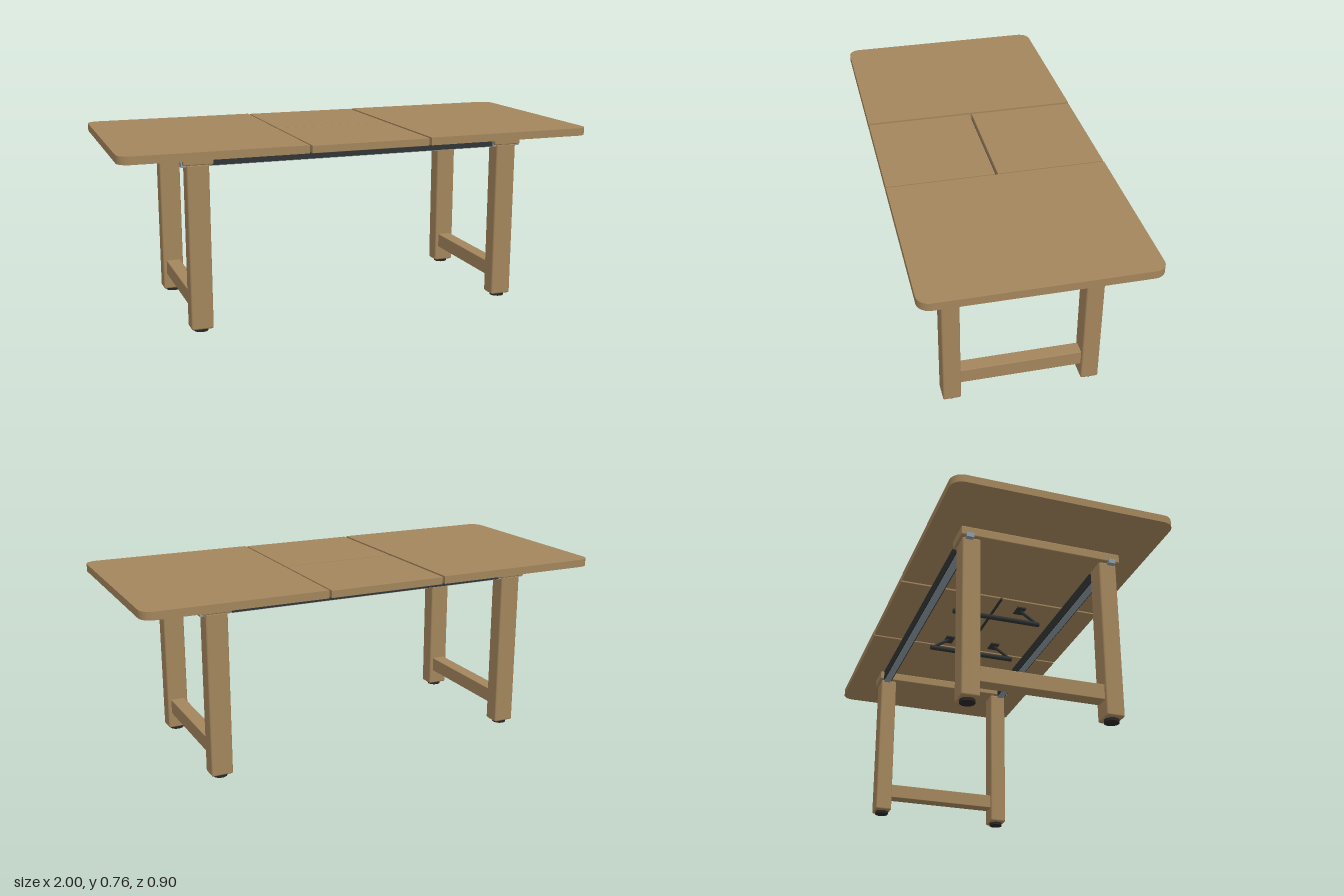
import * as THREE from 'three';
import { RoundedBoxGeometry } from 'three/addons/geometries/RoundedBoxGeometry.js';
import { toCreasedNormals } from 'three/addons/utils/BufferGeometryUtils.js';

const material = (name, color) => {
  const m = new THREE.MeshStandardMaterial({ color });
  m.name = name;
  return m;
};

export function createModel() {
  const wood = material('wood', 0xa3855c);
  const dark = material('dark metal', 0x303434);
  const steel = material('steel', 0x8d9aa3);
  const rubber = material('rubber', 0x2a2626);

  const table = new THREE.Group();
  table.name = 'extendingTable';

  function add(name, geometry, mat, x = 0, y = 0, z = 0) {
    const mesh = new THREE.Mesh(geometry, mat);
    mesh.name = name;
    mesh.position.set(x, y, z);
    table.add(mesh);
    return mesh;
  }
  // Box given by its limits, with optional rounded edges
  function block(name, mat, [x0, x1], [y0, y1], [z0, z1], r = 0) {
    const s = [x1 - x0, y1 - y0, z1 - z0];
    const g = r ? new RoundedBoxGeometry(...s, 3, r) : new THREE.BoxGeometry(...s);
    return add(name, g, mat, (x0 + x1) / 2, (y0 + y1) / 2, (z0 + z1) / 2);
  }
  // Round bar between two points
  function bar(name, mat, a, b, radius) {
    const from = new THREE.Vector3(...a), to = new THREE.Vector3(...b);
    const dir = to.clone().sub(from);
    const mesh = add(name, new THREE.CylinderGeometry(radius, radius, dir.length(), 16), mat);
    mesh.position.copy(from).add(to).multiplyScalar(0.5);
    mesh.quaternion.setFromUnitVectors(new THREE.Vector3(0, 1, 0), dir.normalize());
  }

  // End panel outline, with the two outer corners rounded
  const D = 0.452, R = 0.05, inner = 0.26;
  const outline = new THREE.Shape();
  outline.moveTo(inner, -D);
  outline.lineTo(1 - R, -D);
  outline.absarc(1 - R, -D + R, R, -Math.PI / 2, 0, false);
  outline.lineTo(1, D - R);
  outline.absarc(1 - R, D - R, R, 0, Math.PI / 2, false);
  outline.lineTo(inner, D);
  outline.closePath();
  const panel = new THREE.ExtrudeGeometry(outline, { depth: 0.032, bevelEnabled: false, curveSegments: 10 });
  panel.rotateX(-Math.PI / 2);
  const panelGeometry = toCreasedNormals(panel, 0.6);
  add('leftTopPanel', panelGeometry, wood, 0, 0.728, 0);
  add('rightTopPanel', panelGeometry, wood, 0, 0.728, 0).rotation.y = Math.PI;

  // Folding centre leaves with the hinge strip between them
  block('frontLeaf', wood, [-0.25, 0.25], [0.727, 0.759], [0.005, D], 0.002);
  block('backLeaf', wood, [-0.25, 0.25], [0.727, 0.759], [-D, -0.005], 0.002);
  block('leafHinge', dark, [-0.245, 0.245], [0.725, 0.735], [-0.006, 0.006]);

  for (const side of [-1, 1]) {
    const x = side * 0.675;
    // Leg frame
    for (const end of [-1, 1]) {
      const z = end * 0.2885;
      add('leg', new RoundedBoxGeometry(0.09, 0.677, 0.074, 3, 0.008), wood, x, 0.3505, z);
      add('foot', new THREE.CylinderGeometry(0.03, 0.03, 0.016, 20), rubber, x, 0.008, z);
    }
    block('stretcher', wood, [x - 0.03, x + 0.03], [0.081, 0.145], [-0.256, 0.256], 0.003);
    block('crossbar', wood, [x - 0.06, x + 0.06], [0.687, 0.727], [-0.335, 0.335], 0.005);

    // Slide rails under the top, running through the frames
    const z = side * 0.3;
    block('slideHousing', dark, [-0.615, 0.61], [0.681, 0.727], [z - 0.02, z + 0.02]);
    block('slideRunner', steel, [-0.74, 0.74], [0.678, 0.698], [z - 0.015, z + 0.015]);

    // Leaf lift: a rod with slanted arms up to small mounting plates
    const rx = side * 0.18;
    bar('liftRod', dark, [rx, 0.669, -0.2], [rx, 0.669, 0.2], 0.011);
    for (const end of [-1, 1]) {
      bar('liftArm', dark, [rx, 0.669, end * 0.193], [rx, 0.724, end * 0.11], 0.007);
      block('mountPlate', dark, [rx - 0.03, rx + 0.03], [0.721, 0.728], [end * 0.11 - 0.02, end * 0.11 + 0.02]);
    }
  }
  return table;
}
